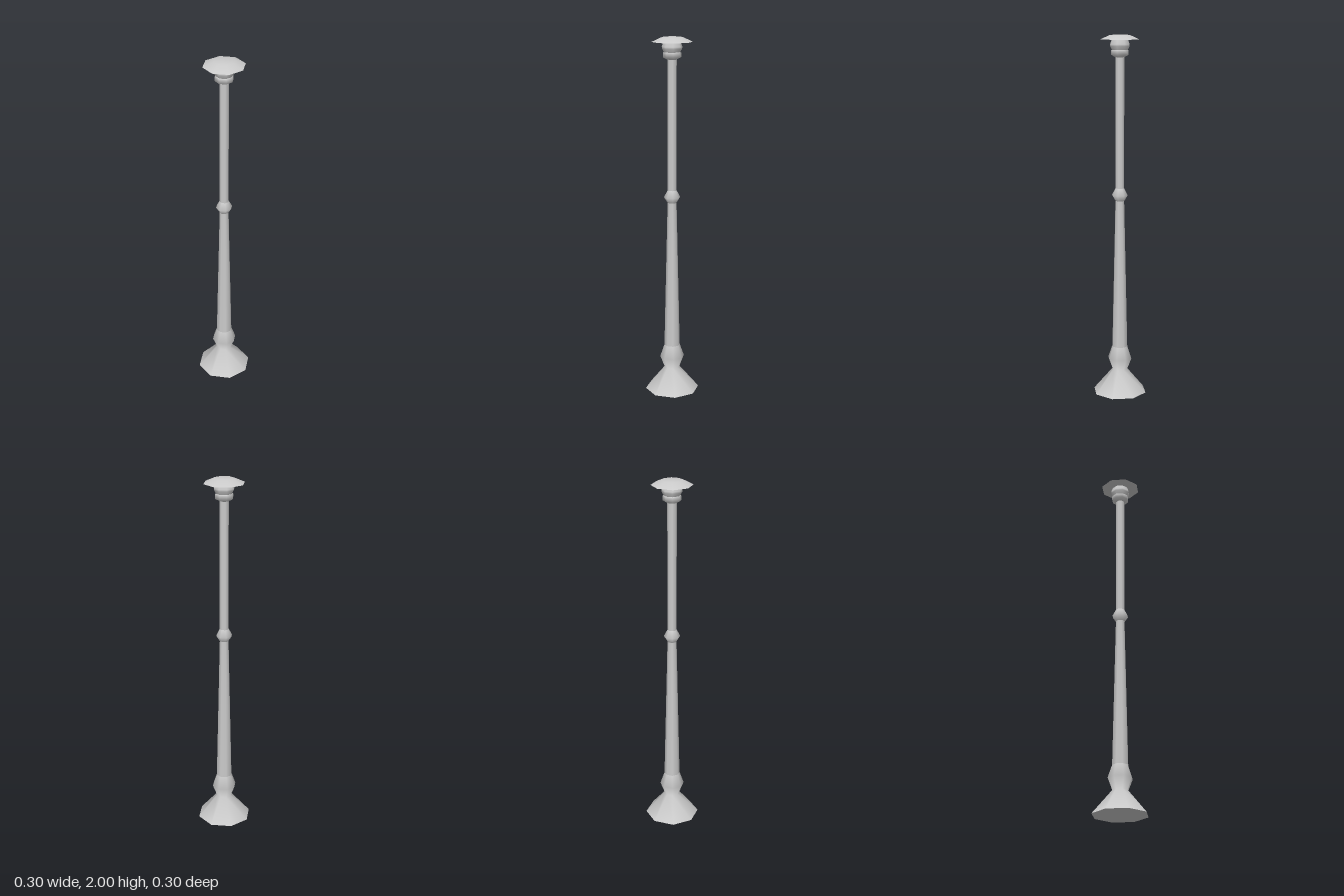
import * as THREE from 'three';

const SIDES = 8;
const material = new THREE.MeshStandardMaterial({ color: 0xcccccc });

// Turns a [radius, height] profile, listed bottom to top, into an eight-sided part
function turned(name, profile) {
  const points = profile.map(([r, y]) => new THREE.Vector2(r, y));
  const mesh = new THREE.Mesh(new THREE.LatheGeometry(points, SIDES), material);
  mesh.name = name;
  return mesh;
}

// Flat downward-facing disc closing a part from below
function underside(name, radius, y) {
  const mesh = new THREE.Mesh(new THREE.CircleGeometry(radius, SIDES), material);
  mesh.rotation.x = Math.PI / 2;
  mesh.position.y = y;
  mesh.name = name;
  return mesh;
}

export function createModel() {
  const lamp = new THREE.Group();
  lamp.name = 'streetLamp';

  lamp.add(
    // Flared foot and the swelling above it
    turned('base', [[0.152, 0], [0.043, 0.13], [0.068, 0.195], [0.044, 0.265]]),
    underside('baseUnderside', 0.152, 0),
    // Tapering lower shaft, knot and straight upper shaft
    turned('lowerShaft', [[0.044, 0.265], [0.025, 1.1]]),
    turned('knot', [[0.025, 1.1], [0.045, 1.132], [0.025, 1.17]]),
    turned('upperShaft', [[0.025, 1.17], [0.025, 1.885]]),
    // Lamp holder: collar, then the rounded lantern
    turned('collar', [[0.025, 1.882], [0.049, 1.894], [0.049, 1.918], [0.044, 1.921]]),
    turned('lantern', [[0.044, 1.921], [0.054, 1.94], [0.055, 1.95], [0.046, 1.975]]),
    // Wide shade
    turned('shade', [[0.111, 1.975], [0.055, 2], [0, 2]]),
    underside('shadeUnderside', 0.111, 1.975),
  );
  return lamp;
}
